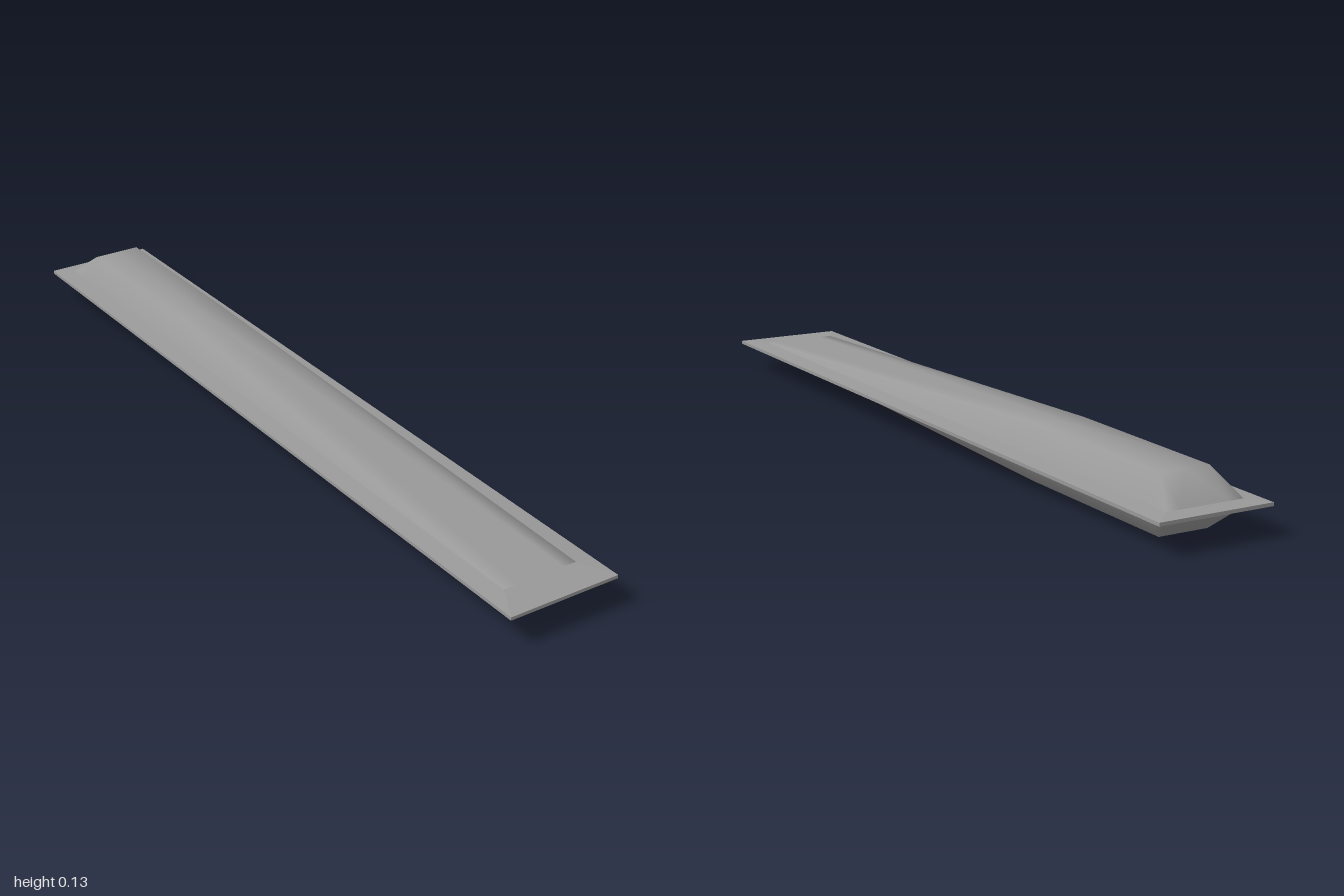
import * as THREE from 'three';

const MID = 0.067; // height of the symmetry plane
const RIM = 0.004, BASE = 0.0085, FULL = 0.067; // half thicknesses

// Stations across and along the raised body: [position, share of the full rise]
const across = [[-0.095, 0], [-0.061, 1], [0, 1], [0.061, 1], [0.095, 0]];
const along = [[-0.96, 0], [-0.89, 1], [-0.43, 1], [0.92, 0]];

// Corners of the flange, outer and inner, in order around the rim
const outer = [[-0.14, -1], [-0.14, 1], [0.14, 1], [0.14, -1]];
const inner = [[-0.095, -0.96], [-0.095, 0.92], [0.095, 0.92], [0.095, -0.96]];

function buildGeometry(positions, triangles, side) {
  const index = triangles.flatMap(([a, b, c]) => (side > 0 ? [a, b, c] : [a, c, b]));
  const geo = new THREE.BufferGeometry();
  geo.setAttribute('position', new THREE.Float32BufferAttribute(positions, 3));
  geo.setIndex(index);
  return geo;
}

// Smooth raised body: side = 1 for the top, -1 for the underside
function bodyGeometry(side) {
  const pos = [], tris = [];
  for (const [x, riseX] of across) {
    for (const [z, riseZ] of along) {
      pos.push(x, MID + side * (BASE + (FULL - BASE) * Math.min(riseX, riseZ)), z);
    }
  }
  const n = along.length;
  for (let i = 0; i < across.length - 1; i++) {
    for (let j = 0; j < n - 1; j++) {
      const a = i * n + j, b = a + 1, c = b + n, d = a + n;
      // Diagonals run toward the raised middle so corners form hips
      if ((i < 2) === (j < 2)) tris.push([a, b, c], [a, c, d]);
      else tris.push([a, b, d], [b, c, d]);
    }
  }
  const geo = buildGeometry(pos, tris, side);
  geo.computeVertexNormals();
  return geo;
}

// Flat, mitred frame around the body, thinning toward the rim
function flangeGeometry(side) {
  const pos = [], tris = [];
  for (const [x, z] of outer) pos.push(x, MID + side * RIM, z);
  for (const [x, z] of inner) pos.push(x, MID + side * BASE, z);
  for (let i = 0; i < 4; i++) {
    const k = (i + 1) % 4;
    tris.push([i, k, k + 4], [i, k + 4, i + 4]);
  }
  const geo = buildGeometry(pos, tris, side).toNonIndexed();
  geo.computeVertexNormals();
  return geo;
}

export function createModel() {
  const group = new THREE.Group();
  group.name = 'blade';
  const material = new THREE.MeshStandardMaterial({ color: 0x999999 });
  const add = (name, geo) => {
    const mesh = new THREE.Mesh(geo, material);
    mesh.name = name;
    group.add(mesh);
    return mesh;
  };

  // Raised body and flange, above and below
  for (const [name, side] of [['upper', 1], ['lower', -1]]) {
    add(name + 'Body', bodyGeometry(side));
    add(name + 'Flange', flangeGeometry(side));
  }

  // Thin walls closing the rim
  const walls = [['leftEdge', 0.14, 0, 2], ['rightEdge', -0.14, 0, 2],
    ['frontEdge', 0, 1, 0.28], ['backEdge', 0, -1, 0.28]];
  for (const [name, x, z, length] of walls) {
    const wall = add(name, new THREE.PlaneGeometry(length, RIM * 2));
    wall.position.set(x, MID, z);
    wall.rotation.y = Math.atan2(x, z);
  }
  return group;
}
